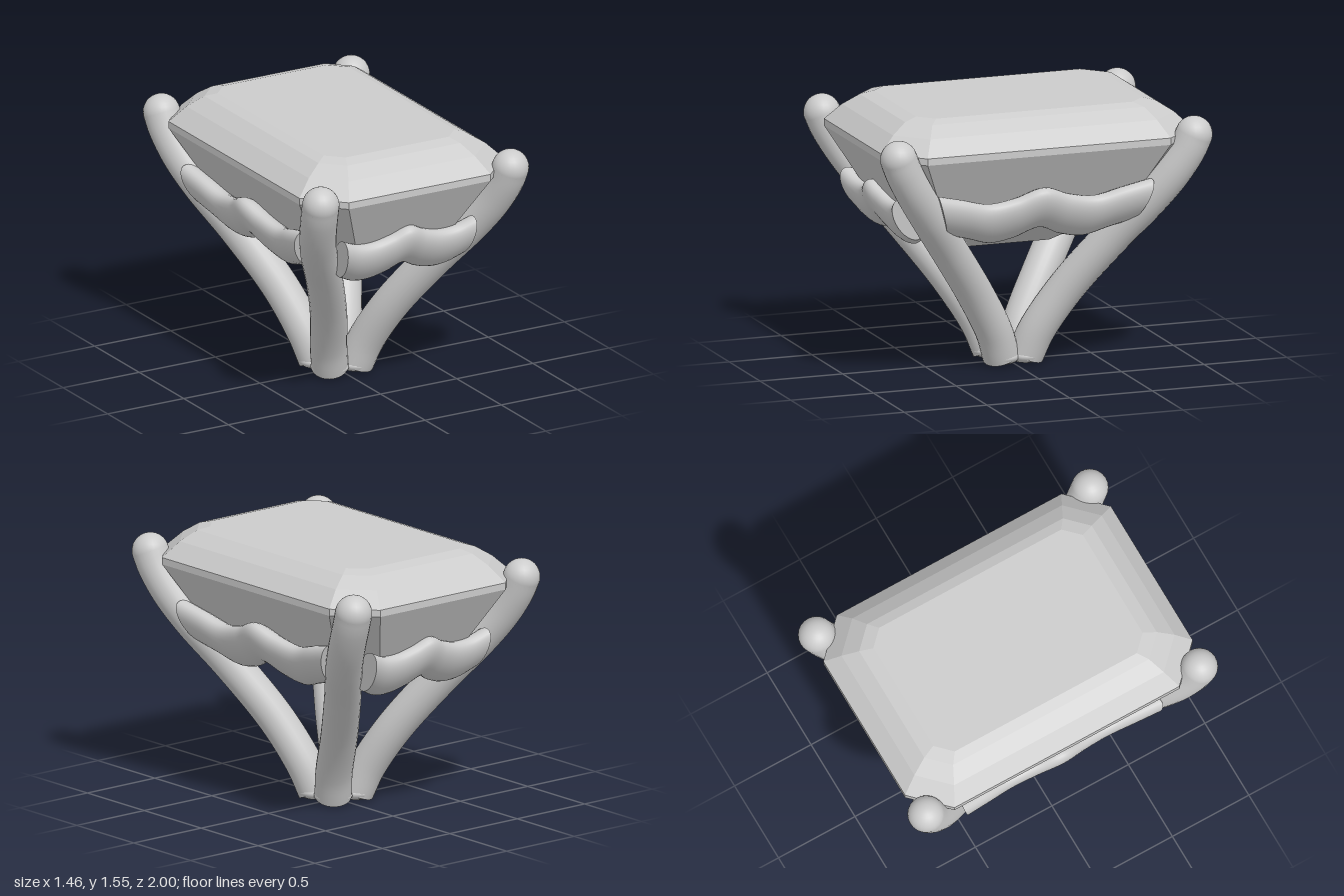
import * as THREE from 'three';

const grey = new THREE.MeshStandardMaterial({ color: 0xcccccc });
const faceted = new THREE.MeshStandardMaterial({ color: 0xcccccc, flatShading: true });

function add(parent, name, geometry, material = grey) {
  const mesh = new THREE.Mesh(geometry, material);
  mesh.name = name;
  parent.add(mesh);
  return mesh;
}

// Rectangle with cut corners: half width a, half depth b, corner cut c
function ring([y, a, b, c]) {
  const quarter = [[a, b - c], [a - c, b]];
  const half = [...quarter, ...quarter.map(([x, z]) => [-x, z]).reverse()];
  return [...half, ...half.map(([x, z]) => [-x, -z])].map(([x, z]) => new THREE.Vector3(x, y, z));
}

// Step-cut stone stacked from rings, keel to table
function gemGeometry() {
  const rings = [
    [0.68, 0, 0.25, 0],
    [0.95, 0.45, 0.72, 0.17],
    [1.34, 0.67, 0.94, 0.205],
    [1.38, 0.67, 0.94, 0.205],
    [1.47, 0.58, 0.85, 0.165],
    [1.53, 0.49, 0.76, 0.12],
    [1.55, 0.43, 0.685, 0.09],
  ].map(ring);
  const points = [];
  const triangle = (p, q, r) => {
    if (new THREE.Triangle(p, q, r).getArea() > 1e-6) points.push(p, q, r);
  };
  for (let k = 0; k < rings.length - 1; k++) {
    const low = rings[k], up = rings[k + 1];
    for (let i = 0; i < 8; i++) {
      const j = (i + 1) % 8;
      triangle(low[i], up[i], up[j]);
      triangle(low[i], up[j], low[j]);
    }
  }
  const table = rings[rings.length - 1];
  for (let i = 1; i < 7; i++) triangle(table[0], table[i + 1], table[i]);
  const geometry = new THREE.BufferGeometry().setFromPoints(points);
  geometry.computeVertexNormals();
  return geometry;
}

// Wavy rail along x: a cylinder bent to a wave, with a tilted oval section
function railGeometry(halfLength, offset, wave, shear) {
  const geometry = new THREE.CylinderGeometry(1, 1, 2 * halfLength, 28, 48, false, Math.PI);
  geometry.rotateZ(Math.PI / 2);
  const curve = new THREE.CatmullRomCurve3(wave.map((y, i) => new THREE.Vector3(i, y, 0)));
  const tall = 0.145, thick = 0.075, sin = 0.57, cos = 0.82;
  const pos = geometry.attributes.position;
  for (let i = 0; i < pos.count; i++) {
    const x = pos.getX(i), u = pos.getY(i), v = pos.getZ(i);
    const t = THREE.MathUtils.clamp((x / halfLength + 1) / 2, 0, 1);
    const y = curve.getPoint(t).y;
    pos.setXYZ(i,
      x * (1 + shear * u),
      y + u * tall * cos - v * thick * sin,
      offset + 0.55 * (y - 0.95) + u * tall * sin + v * thick * cos);
  }
  geometry.computeVertexNormals();
  return geometry;
}

function prong(sx, sz) {
  const group = new THREE.Group();
  group.name = 'prong';
  const path = [
    [0.085, 0.05, 0.075], [0.125, 0.2, 0.13], [0.21, 0.45, 0.275], [0.36, 0.75, 0.485],
    [0.505, 1.0, 0.67], [0.575, 1.16, 0.78], [0.612, 1.3, 0.86], [0.623, 1.38, 0.893],
  ].map(([x, y, z]) => new THREE.Vector3(x * sx, y, z * sz));
  const curve = new THREE.CatmullRomCurve3(path);
  add(group, 'prongShaft', new THREE.TubeGeometry(curve, 48, 0.106, 24));
  add(group, 'prongTip', new THREE.SphereGeometry(0.106, 24, 16)).position.copy(path[path.length - 1]);
  const foot = add(group, 'prongFoot', new THREE.SphereGeometry(0.11, 24, 16));
  foot.position.copy(path[0]);
  foot.scale.y = 0.45;
  return group;
}

export function createModel() {
  const model = new THREE.Group();
  model.name = 'gemSetting';

  add(model, 'gem', gemGeometry(), faceted);

  for (const sx of [-1, 1]) for (const sz of [-1, 1]) model.add(prong(sx, sz));

  // Gallery rails under the stone: short ones front and back, long ones at the sides
  const shortRail = railGeometry(0.41, 0.745, [0.97, 0.925, 0.92, 0.95, 0.995, 0.95, 0.92, 0.925, 0.97], 0.04);
  const longRail = railGeometry(0.6, 0.51, [1.01, 0.97, 0.93, 0.955, 1.01, 0.955, 0.93, 0.97, 1.01], 0.08);
  ['frontRail', 'leftRail', 'backRail', 'rightRail'].forEach((name, i) => {
    add(model, name, i % 2 ? longRail : shortRail).rotation.y = i * Math.PI / 2;
  });

  return model;
}
